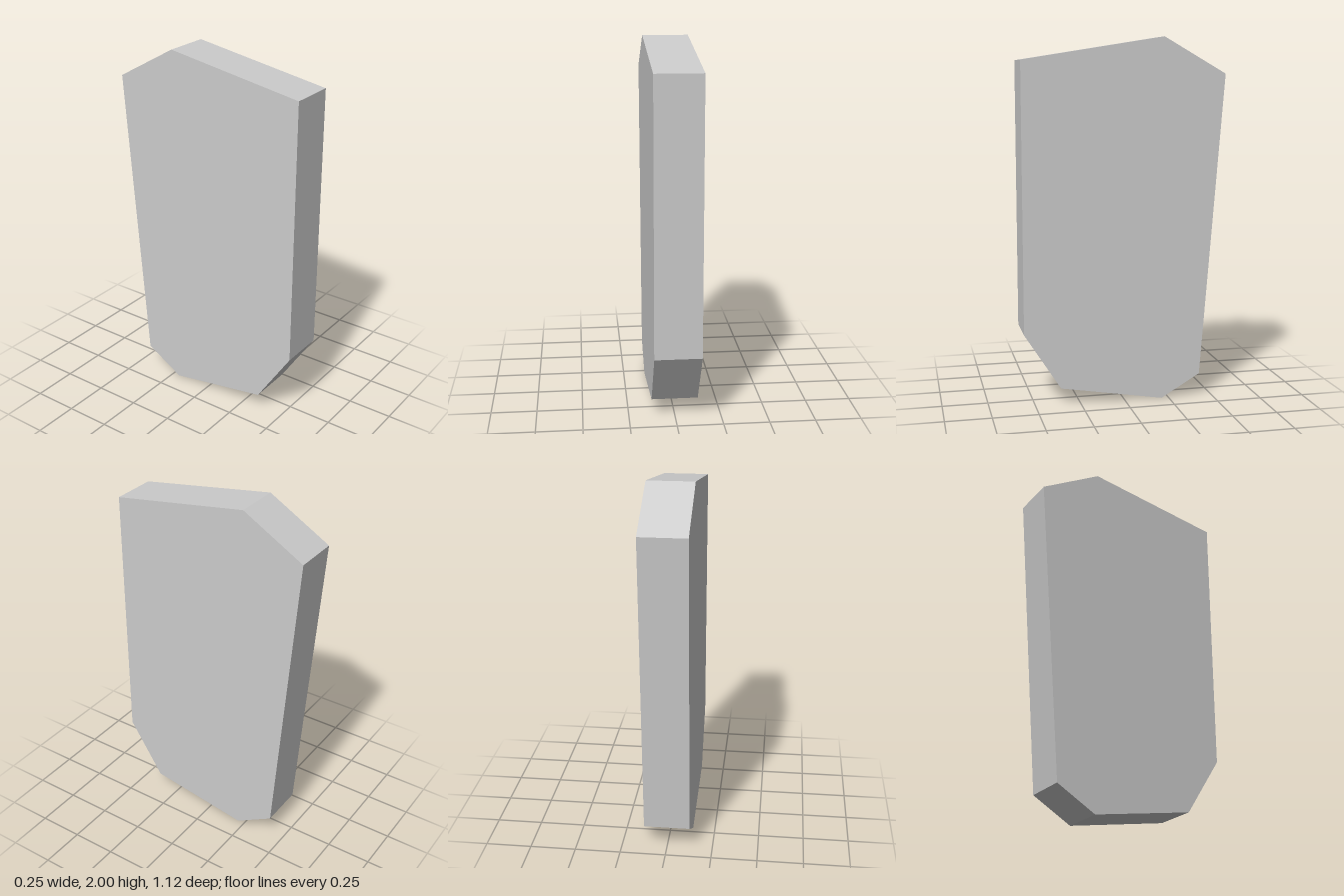
import * as THREE from 'three';

const THICKNESS = 0.252;

// Side outline as [z, y], starting at the upper front corner
const OUTLINE = [
  [0.56, 1.875], [-0.215, 2], [-0.56, 1.803], [-0.427, 0.128],
  [-0.21, 0], [0.36, 0.095], [0.56, 0.405],
];

export function createModel() {
  const group = new THREE.Group();
  group.name = 'facetedSlab';

  const shape = new THREE.Shape(OUTLINE.map(([z, y]) => new THREE.Vector2(z, y)));
  const geometry = new THREE.ExtrudeGeometry(shape, { depth: THICKNESS, bevelEnabled: false });
  // Centre the thickness, then turn the outline into the z-y plane
  geometry.translate(0, 0, -THICKNESS / 2);
  geometry.rotateY(-Math.PI / 2);

  const slab = new THREE.Mesh(
    geometry,
    new THREE.MeshStandardMaterial({ color: 0xcccccc, flatShading: true }),
  );
  slab.name = 'slab';
  group.add(slab);
  return group;
}
